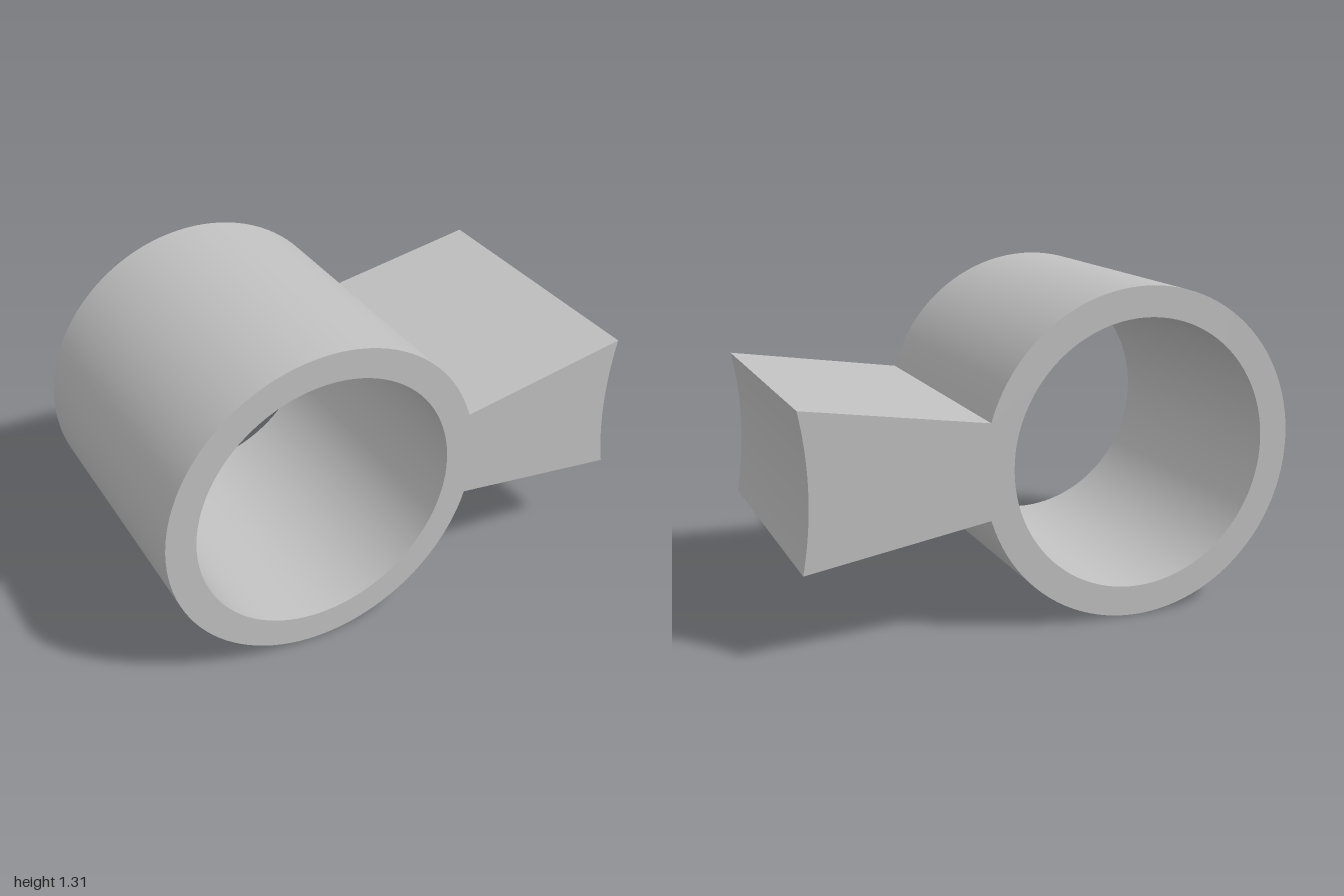
import * as THREE from 'three';
import { toCreasedNormals } from 'three/addons/utils/BufferGeometryUtils.js';

export function createModel() {
  const group = new THREE.Group();
  const grey = new THREE.MeshStandardMaterial({ color: 0xc0c0c0 });
  grey.name = 'plain grey';

  const cx = -0.345, cy = 0.655;        // ring centre
  const outerR = 0.655, innerR = 0.535;
  const depth = 1.12;
  const neckHalf = 0.187;               // half height where the arm meets the ring
  const endHalf = 0.3, sag = 0.03;      // flared arm end with a shallow hollow
  const endR = (endHalf ** 2 + sag ** 2) / (2 * sag);

  // Outline: ring, then the flared arm closed by a concave end
  const a = Math.asin(neckHalf / outerR);
  const b = Math.asin(endHalf / endR);
  const profile = new THREE.Shape();
  profile.absarc(cx, cy, outerR, a, Math.PI * 2 - a, false);
  profile.absarc(1 - sag + endR, cy, endR, Math.PI + b, Math.PI - b, true);
  profile.closePath();

  // Bore through the ring
  const bore = new THREE.Path();
  bore.absarc(cx, cy, innerR, 0, Math.PI * 2, true);
  profile.holes.push(bore);

  const extruded = new THREE.ExtrudeGeometry(profile, { depth, bevelEnabled: false, curveSegments: 48 });
  extruded.translate(0, 0, -depth / 2);
  const mesh = new THREE.Mesh(toCreasedNormals(extruded, 0.4), grey);
  mesh.name = 'ringWithFlaredArm';
  group.add(mesh);
  return group;
}
